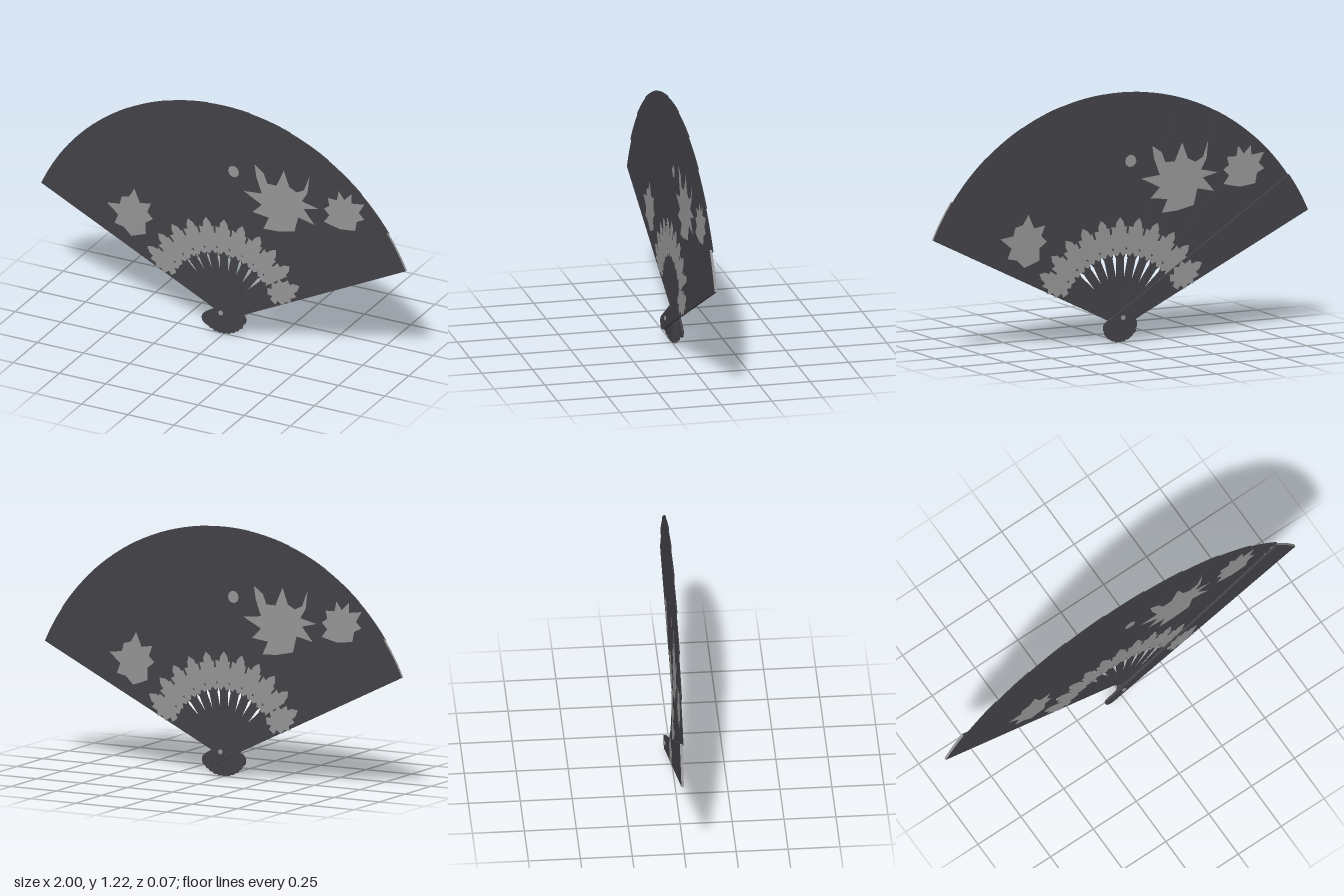
import * as THREE from 'three';

const PIVOT_Y = 0.12, R = 1.097, BLADES = 11, STEP_Z = 0.004;
const rad = THREE.MathUtils.degToRad;

const dark = new THREE.MeshStandardMaterial({ color: 0x424247 });
dark.name = 'charcoal';
const pale = new THREE.MeshStandardMaterial({ color: 0x949494 });
pale.name = 'silver grey';

const shapeOf = (pts) => new THREE.Shape(pts.map(([x, y]) => new THREE.Vector2(x, y)));

// Flat outline extruded and centred on z = 0
function slab(pts, depth) {
  const g = new THREE.ExtrudeGeometry(shapeOf(pts), { depth, bevelEnabled: false });
  return g.translate(0, 0, -depth / 2);
}

// Outline lying along +x, mirrored about its axis: rounded tail, edge points, arched end
function bladeOutline(edge, tailR, tailHalf, endHalfDeg) {
  const upper = [];
  for (let i = 0; i <= 4; i++) {
    const a = (i / 4) * Math.PI / 2;
    upper.push([-tailR + tailHalf * (1 - Math.cos(a)), tailHalf * Math.sin(a)]);
  }
  upper.push(...edge);
  for (let i = 0; i <= 3; i++) {
    const a = rad(endHalfDeg * (1 - i / 3));
    upper.push([R * Math.cos(a), R * Math.sin(a)]);
  }
  const lower = upper.slice(1, -1).reverse().map(([x, y]) => [x, -y]);
  return [...upper, ...lower];
}

// Leafy ornament on each blade, pointing outwards
const leafHalf = [[0.30, 0.014], [0.315, 0.045], [0.335, 0.032], [0.35, 0.062], [0.375, 0.05],
  [0.40, 0.066], [0.41, 0.044], [0.445, 0.046], [0.44, 0.024], [0.465, 0.02]];
const leafOutline = [[0.32, 0], ...leafHalf, [0.49, 0],
  ...leafHalf.slice().reverse().map(([x, y]) => [x, -y])];

// Painted blossoms
const largeBlossom = [[0.33, 0.95], [0.36, 0.87], [0.40, 0.85], [0.44, 0.87], [0.47, 0.95],
  [0.46, 0.86], [0.43, 0.81], [0.52, 0.79], [0.44, 0.77], [0.50, 0.70], [0.41, 0.72],
  [0.39, 0.64], [0.30, 0.62], [0.22, 0.615], [0.25, 0.68], [0.16, 0.69], [0.21, 0.74],
  [0.11, 0.79], [0.21, 0.80], [0.18, 0.88], [0.17, 0.945], [0.22, 0.91], [0.24, 0.86], [0.29, 0.86]];
const rightBlossom = [[0.70, 0.91], [0.70, 0.86], [0.77, 0.87], [0.74, 0.82], [0.77, 0.79],
  [0.73, 0.77], [0.72, 0.72], [0.64, 0.71], [0.59, 0.72], [0.55, 0.73], [0.58, 0.77],
  [0.55, 0.80], [0.58, 0.82], [0.57, 0.86], [0.62, 0.86], [0.63, 0.91], [0.66, 0.87]];
const leftBlossom = [[-0.49, 0.66], [-0.46, 0.59], [-0.40, 0.60], [-0.42, 0.55], [-0.39, 0.52],
  [-0.43, 0.49], [-0.43, 0.43], [-0.51, 0.40], [-0.55, 0.44], [-0.60, 0.45], [-0.58, 0.50],
  [-0.64, 0.55], [-0.57, 0.56], [-0.56, 0.60], [-0.52, 0.61]];
const bud = Array.from({ length: 10 }, (_, i) => {
  const a = (i / 10) * Math.PI * 2;
  return [0.055 + 0.03 * Math.cos(a), 0.88 + 0.03 * Math.sin(a)];
});

// Painted face that follows the depth of the staggered blades
function painted(pts) {
  const g = new THREE.ShapeGeometry(shapeOf(pts));
  const p = g.attributes.position;
  for (let i = 0; i < p.count; i++) {
    const deg = THREE.MathUtils.radToDeg(Math.atan2(p.getY(i) - PIVOT_Y, p.getX(i)));
    p.setZ(i, (5 - (deg - 30) / 12) * STEP_Z + 0.005);
  }
  g.computeVertexNormals();
  return g;
}

export function createModel() {
  const fan = new THREE.Group();
  fan.name = 'foldingFan';
  const add = (parent, name, geo, mat) => {
    const m = new THREE.Mesh(geo, mat);
    m.name = name;
    parent.add(m);
    return m;
  };

  const leafGeo = slab(leafOutline, 0.0006);
  const ribGeo = slab(bladeOutline(
    [[0, 0.017], [0.20, 0.021], [0.29, 0.022], [0.34, 0.044]], 0.12, 0.017, 7.4), 0.002);
  const guardGeo = slab(bladeOutline([[0.09, 0.041]], 0.115, 0.034, 5.4), 0.012);

  // Pale strip covering the arched end of a guard
  const arc = (r) => [-5.4, -1.8, 1.8, 5.4].map((d) => [r * Math.cos(rad(d)), r * Math.sin(rad(d))]);
  const capGeo = slab([...arc(R + 0.001), ...arc(R - 0.001).reverse()], 0.012);

  // Blades fanned about the rivet, each one step further back
  for (let i = 0; i < BLADES; i++) {
    const first = i === 0, last = i === BLADES - 1, guard = first || last;
    const blade = new THREE.Group();
    blade.name = guard ? (first ? 'frontGuard' : 'backGuard') : 'blade' + i;
    const angle = first ? 29.7 : last ? 150.3 : 30 + 12 * i;
    blade.rotation.z = rad(angle);
    blade.position.set(0, PIVOT_Y, first ? 0.027 : last ? -0.027 : (5 - i) * STEP_Z);
    add(blade, 'panel', guard ? guardGeo : ribGeo, dark);
    if (guard) add(blade, 'endStrip', capGeo, pale);
    for (const s of [1, -1]) {
      add(blade, 'leafOrnament', leafGeo, pale).position.z = s * (guard ? 0.0066 : 0.0014);
    }
    fan.add(blade);
  }

  // The same blossoms on the front and, turned about, on the back
  for (const [side, turn] of [['front', 0], ['back', Math.PI]]) {
    const paint = new THREE.Group();
    paint.name = side + 'Painting';
    paint.rotation.y = turn;
    add(paint, 'largeBlossom', painted(largeBlossom), pale);
    add(paint, 'rightBlossom', painted(rightBlossom), pale);
    add(paint, 'leftBlossom', painted(leftBlossom), pale);
    add(paint, 'bud', painted(bud), pale);
    fan.add(paint);
  }

  // Rivet through all the blades
  const rivet = add(fan, 'rivet', new THREE.CylinderGeometry(0.012, 0.012, 0.074, 12), pale);
  rivet.rotation.x = Math.PI / 2;
  rivet.position.y = PIVOT_Y + 0.005;
  return fan;
}
